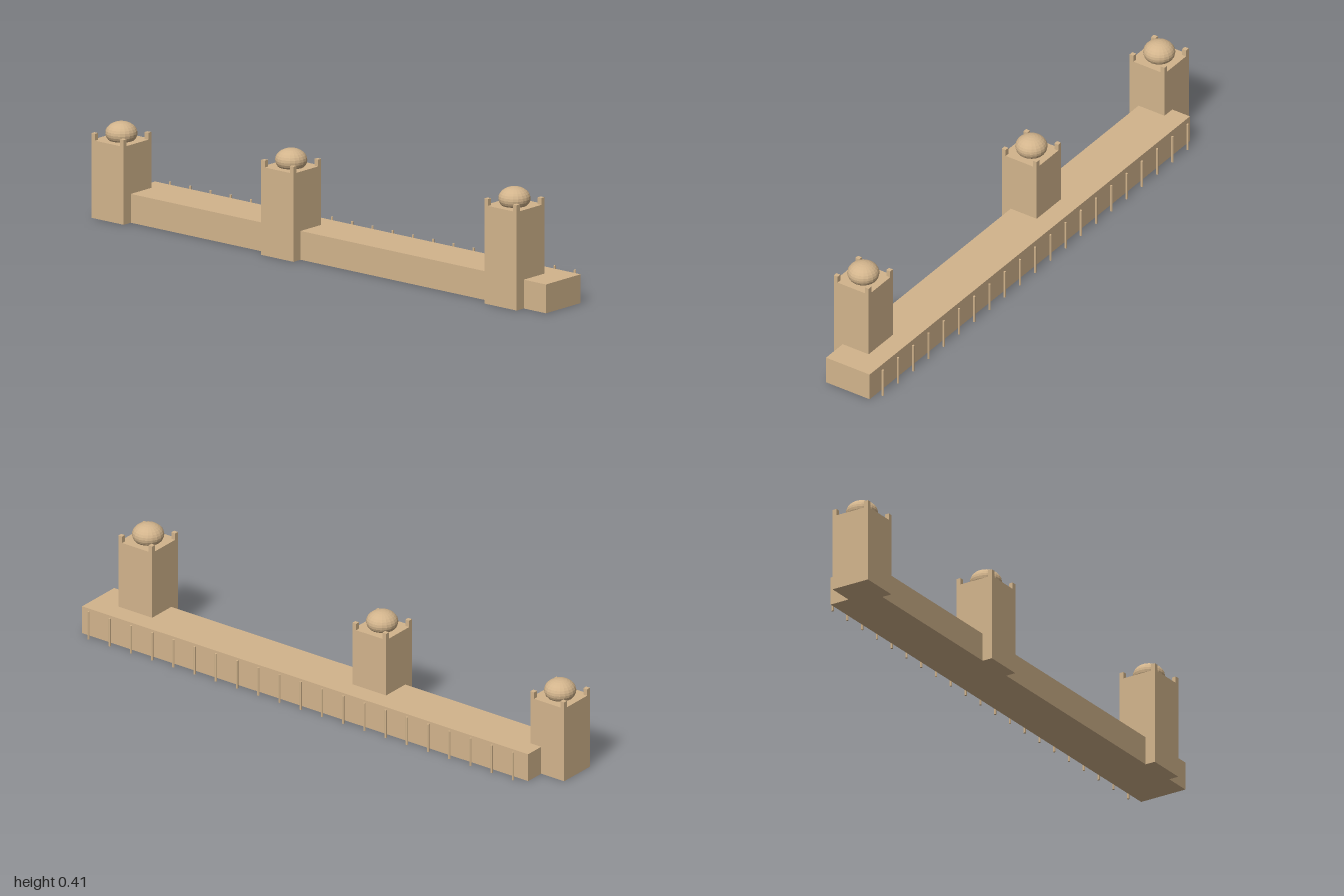
import * as THREE from 'three';

export function createModel() {
  const root = new THREE.Group();
  root.name = 'fortifiedWall';
  const stone = new THREE.MeshStandardMaterial({ color: 0xd2b48c, flatShading: true });

  const add = (parent, name, geometry, x, y, z) => {
    const mesh = new THREE.Mesh(geometry, stone);
    mesh.name = name;
    mesh.position.set(x, y, z);
    parent.add(mesh);
    return mesh;
  };

  // Long low wall
  add(root, 'wall', new THREE.BoxGeometry(1.902, 0.101, 0.18), 0.049, 0.0505, -0.005);

  // Square towers with corner merlons and a flattened dome
  const width = 0.144, merlon = 0.016, merlonHeight = 0.024;
  const merlonGeo = new THREE.BoxGeometry(merlon, merlonHeight, merlon);
  const domeGeo = new THREE.SphereGeometry(0.055, 20, 14).scale(1, 0.73, 1);
  const towers = [[-0.928, 0.273], [-0.169, 0.309], [0.829, 0.345]];
  for (const [x, height] of towers) {
    const tower = new THREE.Group();
    tower.name = 'tower';
    tower.position.set(x, 0, 0.05);
    root.add(tower);
    add(tower, 'towerBody', new THREE.BoxGeometry(width, height, width), 0, height / 2, 0);
    add(tower, 'dome', domeGeo, 0, height + 0.023, 0);
    const c = (width - merlon) / 2;
    for (const sx of [-1, 1]) for (const sz of [-1, 1])
      add(tower, 'merlon', merlonGeo, sx * c, height + merlonHeight / 2, sz * c);
  }

  // Row of thin posts behind the wall
  const postGeo = new THREE.CylinderGeometry(0.004, 0.004, 0.104, 8);
  for (let i = 0; i < 21; i++)
    add(root, 'post', postGeo, -0.855 + i * 0.0905, 0.052, -0.118);

  return root;
}
